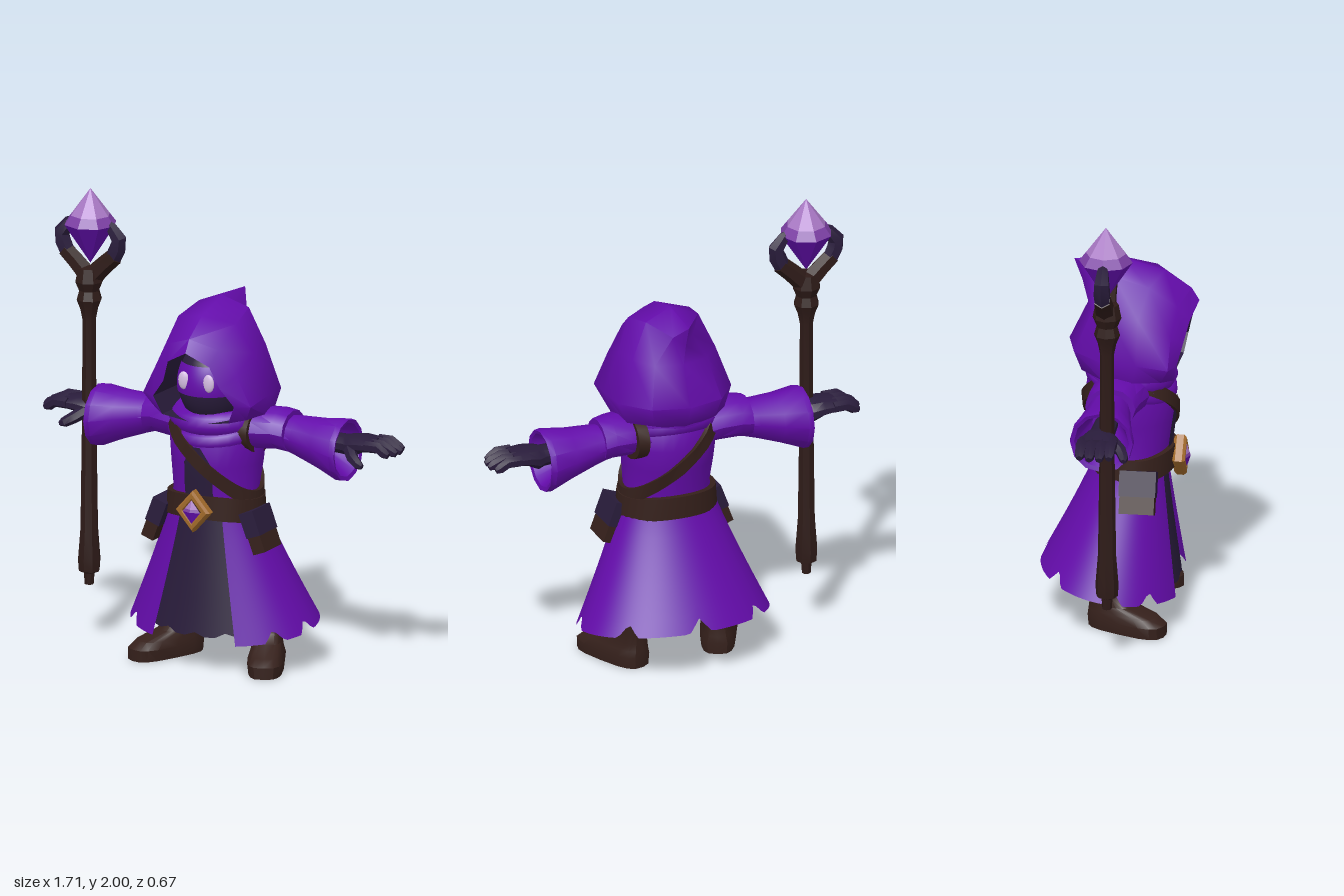
import * as THREE from 'three';
import { toCreasedNormals } from 'three/addons/utils/BufferGeometryUtils.js';

const TAU = Math.PI * 2;
const paint = (name, color, side = THREE.FrontSide) => {
  const m = new THREE.MeshStandardMaterial({ color, side });
  m.name = name;
  return m;
};

// Skin a stack of rings of [x, y, z]; optional end caps, open or closed rings.
function loft(rings, { caps = false, closed = true, flip = false, crease = 0.6 } = {}) {
  if (flip) rings = rings.map(r => [...r].reverse());
  const n = rings[0].length, pos = rings.flat(2), idx = [];
  for (let i = 0; i < rings.length - 1; i++)
    for (let j = 0; j < (closed ? n : n - 1); j++) {
      const a = i * n + j, b = i * n + (j + 1) % n;
      idx.push(a, b, b + n, a, b + n, a + n);
    }
  if (caps) [0, rings.length - 1].forEach((r, end) => {
    const c = pos.length / 3;
    for (let k = 0; k < 3; k++) pos.push(rings[r].reduce((s, p) => s + p[k], 0) / n);
    for (let j = 0; j < n; j++) {
      const a = r * n + j, b = r * n + (j + 1) % n;
      if (end) idx.push(c, a, b); else idx.push(c, b, a);
    }
  });
  const g = new THREE.BufferGeometry();
  g.setAttribute('position', new THREE.Float32BufferAttribute(pos, 3));
  g.setIndex(idx);
  return toCreasedNormals(g, crease);
}

// Tapered tube through [x, y, z, radius] points.
function limb(pts, sides = 6) {
  const v = pts.map(p => new THREE.Vector3(p[0], p[1], p[2]));
  const rings = pts.map((p, i) => {
    const s = v[Math.min(i + 1, v.length - 1)].clone().sub(v[Math.max(i - 1, 0)]).normalize();
    const u = new THREE.Vector3(0, 0, 1).cross(s).normalize(), w = s.clone().cross(u);
    return Array.from({ length: sides }, (_, j) => {
      const a = j / sides * TAU;
      return v[i].clone().addScaledVector(u, p[3] * Math.cos(a)).addScaledVector(w, p[3] * Math.sin(a)).toArray();
    });
  });
  return loft(rings, { caps: true });
}

// Rings along x from [x, centreY, ry, centreZ, rz].
const armRings = (rows, n = 12) => rows.map(([x, cy, ry, cz, rz]) =>
  Array.from({ length: n }, (_, j) => [x, cy + ry * Math.cos(j / n * TAU), cz + rz * Math.sin(j / n * TAU)]));

function mirror(geo) {
  const g = (geo.index ? geo.toNonIndexed() : geo.clone()).scale(-1, 1, 1);
  const idx = [];
  for (let i = 0; i < g.attributes.position.count; i += 3) idx.push(i, i + 2, i + 1);
  return g.setIndex(idx);
}

// Torso outline: [y, half width, front z, back z]
const TORSO = [[0.68, 0.2, 0.215, -0.1], [0.78, 0.19, 0.215, -0.1], [0.9, 0.2, 0.235, -0.14],
  [1.0, 0.21, 0.235, -0.15], [1.08, 0.2, 0.21, -0.14], [1.16, 0.14, 0.16, -0.1]];
function torsoAt(a, y, off = 0) {
  let i = 0;
  while (i < TORSO.length - 2 && y > TORSO[i + 1][0]) i++;
  const t = THREE.MathUtils.clamp((y - TORSO[i][0]) / (TORSO[i + 1][0] - TORSO[i][0]), 0, 1);
  const [, w, f, b] = TORSO[i].map((q, k) => q + (TORSO[i + 1][k] - q) * t);
  return [Math.sin(a) * (w + off), y, (f + b) / 2 + Math.cos(a) * ((f - b) / 2 + off)];
}
const around = (n, fn) => Array.from({ length: n }, (_, j) => fn(j / n * TAU));
// Belt or strap wrapped round the torso.
const band = (yAt, half, off) => loft([[-half, 0], [-half, off], [half, off], [half, 0]].map(([dy, o]) =>
  around(36, a => torsoAt(a, yAt(a) + dy, o))));

// Flared skirt surface: t = 0 at the waist and 1 at the given hem height.
const baseHem = a => 0.135 + 0.0475 * (1 - Math.cos(a));
const skirtAt = (a, t, hem, k, inset) => {
  const L = THREE.MathUtils.lerp, y = L(0.73, hem, t);
  const f = Math.pow((0.73 - y) / (0.73 - baseHem(a)), 1.12);
  return [Math.sin(a) * (L(0.2, 0.425, f) * k - inset), y,
    L(0.055, -0.02, f) + Math.cos(a) * (L(0.155, 0.32, f) * k - inset)];
};
const NOTCHES = [0.95, 1.45, 2.35, Math.PI];
function skirtHem(a) {
  const d = a > Math.PI ? TAU - a : a;
  const cut = Math.max(...NOTCHES.map(n => Math.max(0, 1 - Math.abs(d - n) / 0.12)));
  return baseHem(a) + 0.055 * cut;
}
// Sheet round the skirt, left open at the front.
const wrap = (start, fn) => Array.from({ length: 97 }, (_, j) => fn(start + j / 96 * (TAU - 2 * start)));
const skirt = (inset, flip) => loft([8, 7, 6, 5, 4, 3, 2, 1, 0].map(r =>
  wrap(0.49, a => skirtAt(a, r / 8, skirtHem(a), 1, inset))), { closed: false, flip });

export function createModel() {
  const model = new THREE.Group();
  const purple = paint('robePurple', 0x640cab), dark = paint('darkCloth', 0x291c3b, THREE.DoubleSide);
  const brown = paint('leatherBrown', 0x35201b), wood = paint('staffWood', 0x2e1b18);
  const gold = paint('buckleGold', 0xa0692a), pale = paint('crystalPale', 0xa878c4);
  const mid = paint('crystalMid', 0x7c40a4), deep = paint('crystalDeep', 0x640fb0);
  const eyeMat = paint('eyeLavender', 0xd4bce2);
  const add = (name, geo, mat, x = 0, y = 0, z = 0) => {
    const m = new THREE.Mesh(geo, mat);
    m.name = name;
    m.position.set(x, y, z);
    model.add(m);
  };
  const pair = (name, geo, mat, x = 0, y = 0, z = 0) => {
    add(name + 'Left', geo, mat, x, y, z);
    add(name + 'Right', mirror(geo), mat, x, y, z);
  };

  // Robe body and skirt
  add('torso', loft(TORSO.map(r => around(28, a => torsoAt(a, r[0]))), { caps: true }), purple);
  add('skirt', skirt(0, false), purple);
  add('skirtLining', skirt(0.008, true), purple);
  add('hemFacing', loft([0.86, 0.97].map(k => wrap(0.7, a => skirtAt(a, 1, baseHem(a) + 0.065, k, 0))), { closed: false }), brown);
  // Underskirt, closed off inside above the boots
  const underHem = around(48, a => skirtAt(a, 1, 0.165 + 0.075 * (1 - Math.cos(a)) + 0.012 * Math.cos(a * 16), 0.88, 0));
  add('underskirt', loft([[...underHem.map(([x, , z]) => [x * 0.05, 0.36, z * 0.05])], underHem.map(([x, , z]) => [x * 0.8, 0.33, z * 0.8]), underHem,
    ...[0.75, 0.5, 0.25, 0].map(t => around(48, a => skirtAt(a, t, 0.165 + 0.075 * (1 - Math.cos(a)), 0.88, 0)))]), dark);
  add('chestPanel', loft([[0.76, 0.34], [0.84, 0.34], [0.92, 0.3], [0.99, 0.08]].map(([y, w]) =>
    [-1, -0.5, 0, 0.5, 1].map(k => torsoAt(k * w, y, 0.007))), { closed: false }), dark);

  // Draped cowl under the hood
  [[1.1, 0.15, 0.055, 0.12], [1.06, 0.165, 0.045, 0.3]].forEach(([y, r, tube, tilt], i) => {
    const g = new THREE.TorusGeometry(r, tube, 8, 28).rotateX(Math.PI / 2).scale(1.05, 1, 0.98).rotateX(tilt);
    add('cowlFold' + (i + 1), g, purple, 0, y, 0.045);
  });

  // Hood: half outlines from the opening back to the tip
  const half = [
    [[0, 1.43, 0.338], [0.1, 1.375, 0.31], [0.135, 1.28, 0.285], [0.195, 1.2, 0.265], [0.16, 1.12, 0.25], [0, 1.09, 0.23]],
    [[0, 1.485, 0.305], [0.12, 1.44, 0.26], [0.195, 1.33, 0.24], [0.26, 1.2, 0.235], [0.22, 1.13, 0.2], [0, 1.08, 0.19]],
    [[0, 1.56, 0.19], [0.14, 1.53, 0.14], [0.2, 1.4, 0.1], [0.27, 1.22, 0.1], [0.245, 1.13, 0.08], [0, 1.08, 0.08]],
    [[0, 1.61, 0.01], [0.12, 1.565, -0.01], [0.19, 1.41, -0.03], [0.26, 1.22, -0.04], [0.225, 1.13, -0.05], [0, 1.08, -0.04]],
    [[0, 1.595, -0.2], [0.045, 1.53, -0.13], [0.12, 1.4, -0.11], [0.16, 1.23, -0.18], [0.14, 1.14, -0.15], [0, 1.09, -0.12]],
    [[0, 1.595, -0.2], [0, 1.5, -0.165], [0, 1.4, -0.14], [0, 1.23, -0.22], [0, 1.14, -0.18], [0, 1.09, -0.12]],
  ];
  const hood = half.map(h => [...h, ...h.slice(1, 5).reverse().map(([x, y, z]) => [-x, y, z])]);
  add('hood', loft(hood, { crease: 0.95 }), purple);
  // Dark lining and its back wall behind the face
  const deepRing = hood[0].map(([x, y, z]) => [x * 0.95, y, z - 0.2]);
  add('hoodInterior', loft([hood[0], deepRing, deepRing.map(([x, y, z]) => [x * 0.02, 1.25 + (y - 1.25) * 0.02, z])], { flip: true }), dark);

  // Shadowed face, mask band and eyes
  add('head', new THREE.SphereGeometry(1, 24, 16).scale(0.15, 0.19, 0.17), dark, 0, 1.25, 0.08);
  add('maskBand', new THREE.SphereGeometry(1.03, 20, 8, 0.68, Math.PI - 1.36, 1.06, 0.68).scale(0.15, 0.19, 0.17), purple, 0, 1.25, 0.08);
  pair('eye', new THREE.SphereGeometry(1, 12, 8).scale(0.027, 0.04, 0.012).translate(0.06, 1.28, 0.241), eyeMat);

  // Shoulders and flared sleeves
  pair('shoulder', loft(armRings([[0.1, 1.04, 0.09, 0.03, 0.13], [0.2, 1.055, 0.092, 0.02, 0.125],
    [0.29, 1.058, 0.09, 0.005, 0.115], [0.34, 1.05, 0.09, 0, 0.108]]), { caps: true }), purple);
  pair('sleeve', loft(armRings([[0.28, 1.045, 0.07, -0.005, 0.085], [0.37, 1.033, 0.087, -0.005, 0.095],
    [0.48, 1.015, 0.109, -0.005, 0.115], [0.58, 1.0, 0.137, -0.003, 0.138], [0.605, 0.998, 0.135, -0.003, 0.135],
    [0.6, 1.0, 0.118, -0.003, 0.118], [0.45, 1.03, 0.05, -0.003, 0.06]]), { caps: true }), purple);

  // Gloved hands
  pair('palm', loft(armRings([[0.45, 1.03, 0.04, 0, 0.05], [0.6, 1.025, 0.045, -0.005, 0.055], [0.63, 1.025, 0.052, -0.005, 0.075],
    [0.68, 1.04, 0.038, -0.005, 0.085], [0.745, 1.042, 0.028, -0.005, 0.082]], 10), { caps: true }), dark);
  [-0.068, -0.025, 0.018, 0.058].forEach((z, i) => {
    const end = [0.835, 0.85, 0.848, 0.83][i];
    pair('finger' + (i + 1), limb([[0.72, 1.045, z, 0.025], [0.78, 1.046, z, 0.025], [end - 0.02, 1.025, z, 0.023], [end, 1.017, z, 0.014]]), dark);
  });
  pair('thumb', limb([[0.64, 1.02, 0.05, 0.028], [0.675, 0.995, 0.09, 0.026], [0.71, 0.975, 0.107, 0.022], [0.73, 0.968, 0.108, 0.012]]), dark);

  // Belt, straps and buckle
  add('belt', band(a => 0.715 + 0.01 * Math.cos(a * 2), 0.05, 0.024), brown);
  add('chestStrap', band(a => 0.935 - 0.185 * Math.sin(a), 0.036, 0.018), brown);
  add('shoulderStrap', loft(armRings([[0.15, 1.05, 0.085, 0.02, 0.12], [0.15, 1.05, 0.104, 0.016, 0.15],
    [0.2, 1.05, 0.106, 0.016, 0.15], [0.2, 1.05, 0.085, 0.02, 0.12]], 20)), brown);
  const diamond = (C, w, h) => {
    const s = new C();
    [[0, -h], [w, 0], [0, h], [-w, 0]].forEach(([x, y], i) => i ? s.lineTo(x, y) : s.moveTo(x, y));
    s.closePath();
    return s;
  };
  const frame = diamond(THREE.Shape, 0.07, 0.08);
  frame.holes.push(diamond(THREE.Path, 0.05, 0.059));
  add('buckleFrame', new THREE.ExtrudeGeometry(frame, { depth: 0.03, bevelEnabled: true, bevelSize: 0.009, bevelThickness: 0.012, bevelSegments: 1 }), gold, 0, 0.715, 0.242);

  // Faceted crystals: pale tip, middle band and deep base
  const crystal = (name, r, up, down, sides, flat, x, y, z) => {
    const piece = (suffix, mat, rTop, rBottom, h, y0) => add(name + suffix, toCreasedNormals(
      new THREE.CylinderGeometry(rTop, rBottom, h, sides, 1, true).translate(0, y0 + h / 2, 0).scale(1, 1, flat), 0.1), mat, x, y, z);
    piece('Tip', pale, 0, r * 0.75, up * 0.75, up * 0.25);
    piece('Band', mid, r * 0.75, r, up * 0.25, 0);
    piece('Base', deep, r, 0, down, -down);
  };
  crystal('buckleGem', 0.042, 0.052, 0.052, 4, 0.4, 0, 0.715, 0.284);
  crystal('staffCrystal', 0.115, 0.155, 0.175, 8, 1, -0.63, 1.845, 0.02);

  // Hip pouches
  const pouchPart = (w, h, d, dy) => new THREE.BoxGeometry(w, h, d).translate(0, dy, 0).rotateZ(0.36).translate(0.24, 0.625, 0.105);
  pair('pouch', pouchPart(0.06, 0.18, 0.15, 0), brown);
  pair('pouchFlap', pouchPart(0.07, 0.11, 0.158, 0.04), dark);

  // Boots, toes turned out, and dark legs above them
  const boot = [[0, 0.074, -0.085, 0.275], [0.05, 0.08, -0.088, 0.275], [0.08, 0.07, -0.085, 0.235], [0.11, 0.062, -0.08, 0.12],
    [0.15, 0.06, -0.078, 0.08], [0.2, 0.066, -0.078, 0.07], [0.27, 0.07, -0.08, 0.075]];
  const soft = v => Math.sign(v) * Math.pow(Math.abs(v), 0.65);
  pair('boot', loft(boot.map(([y, w, b, f]) => around(16, a =>
    [w * soft(Math.sin(a)), y, (f + b) / 2 + (f - b) / 2 * soft(Math.cos(a))])), { caps: true })
    .rotateY(0.42).translate(0.205, 0, -0.025), brown);
  pair('leg', new THREE.CylinderGeometry(0.055, 0.055, 0.15, 12).translate(0.195, 0.32, -0.025), dark);

  // Staff: shaft, forked head and dark prong tips
  const shaft = [[0, 0.25], [0.02, 0.25], [0.024, 0.3], [0.046, 0.31], [0.05, 0.36], [0.039, 0.5], [0.032, 1.0], [0.03, 1.42],
    [0.04, 1.47], [0.056, 1.51], [0.045, 1.55], [0.062, 1.59], [0.05, 1.65], [0, 1.66]];
  add('staffShaft', toCreasedNormals(new THREE.LatheGeometry(shaft.map(p => new THREE.Vector2(...p)), 8), 0.5), wood, -0.633, 0, 0.025);
  pair('staffProng', limb([[0, 1.6, 0, 0.045], [0.07, 1.67, 0, 0.04], [0.12, 1.715, 0, 0.038]]), wood, -0.63, 0, 0.02);
  pair('staffProngTip', limb([[0.11, 1.705, 0, 0.036], [0.132, 1.75, 0, 0.038], [0.138, 1.79, 0, 0.036],
    [0.1, 1.84, 0, 0.026], [0.07, 1.87, 0, 0.006]]), dark, -0.63, 0, 0.02);

  return model;
}
